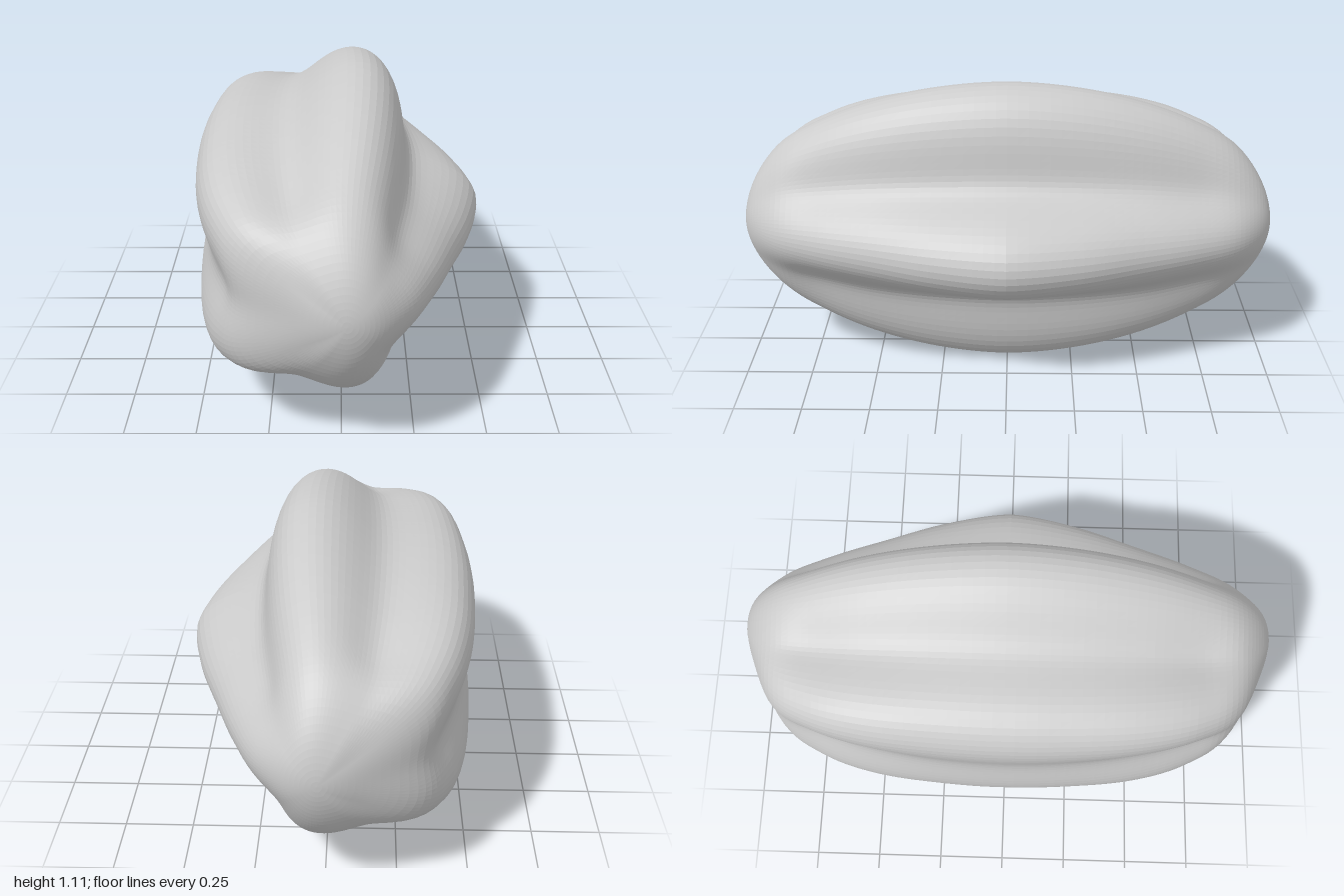
import * as THREE from 'three';

// Directions of ridges and grooves in degrees, from the +x ridge round to -x,
// with their radii sampled at seven even steps from the middle to the tip
const ANGLES = [0, 35, 74, 109, 142, 180].map(THREE.MathUtils.degToRad);
const PROFILES = [
  [0.578, 0.547, 0.515, 0.520, 0.545, 0.52, 0.5], // ridge
  [0.387, 0.388, 0.400, 0.425, 0.490, 0.52, 0.5], // groove
  [0.570, 0.565, 0.562, 0.565, 0.580, 0.56, 0.5], // ridge
  [0.434, 0.434, 0.437, 0.450, 0.530, 0.52, 0.5], // groove
  [0.545, 0.553, 0.582, 0.615, 0.630, 0.46, 0.42], // ridge
  [0.447, 0.447, 0.450, 0.465, 0.530, 0.44, 0.42], // groove
].map((row) => new THREE.SplineCurve(row.map((r, i) => new THREE.Vector2(i, r))));

// Blend smoothly between neighbouring ridge and groove profiles
function radiusAt(angle, t) {
  const a = Math.abs(angle);
  let i = 0;
  while (i < 4 && a > ANGLES[i + 1]) i++;
  const k = (a - ANGLES[i]) / (ANGLES[i + 1] - ANGLES[i]);
  const mix = (1 - Math.cos(Math.PI * k)) / 2;
  return THREE.MathUtils.lerp(PROFILES[i].getPoint(t).y, PROFILES[i + 1].getPoint(t).y, mix);
}

// Five-ribbed fruit body: a sphere with its poles on z, reshaped by the profiles
function ribbedBody() {
  const geometry = new THREE.SphereGeometry(1, 128, 80);
  geometry.rotateX(Math.PI / 2);
  const pos = geometry.attributes.position;
  for (let i = 0; i < pos.count; i++) {
    const z = THREE.MathUtils.clamp(pos.getZ(i), -1, 1);
    const angle = Math.atan2(pos.getY(i), pos.getX(i));
    const t = Math.asin(Math.abs(z)) / (Math.PI / 2);
    const r = radiusAt(angle, t) * Math.sqrt(1 - z * z);
    const centre = -0.058 + 0.075 * z ** 10; // the tips lean towards +x
    pos.setXYZ(i, centre + r * Math.cos(angle), 0.55 + r * Math.sin(angle), z);
  }
  geometry.computeVertexNormals();
  return geometry;
}

export function createModel() {
  const group = new THREE.Group();
  group.name = 'starFruit';
  const body = new THREE.Mesh(
    ribbedBody(),
    new THREE.MeshStandardMaterial({ color: 0xcccccc, flatShading: true })
  );
  body.name = 'ribbedBody';
  group.add(body);
  return group;
}
